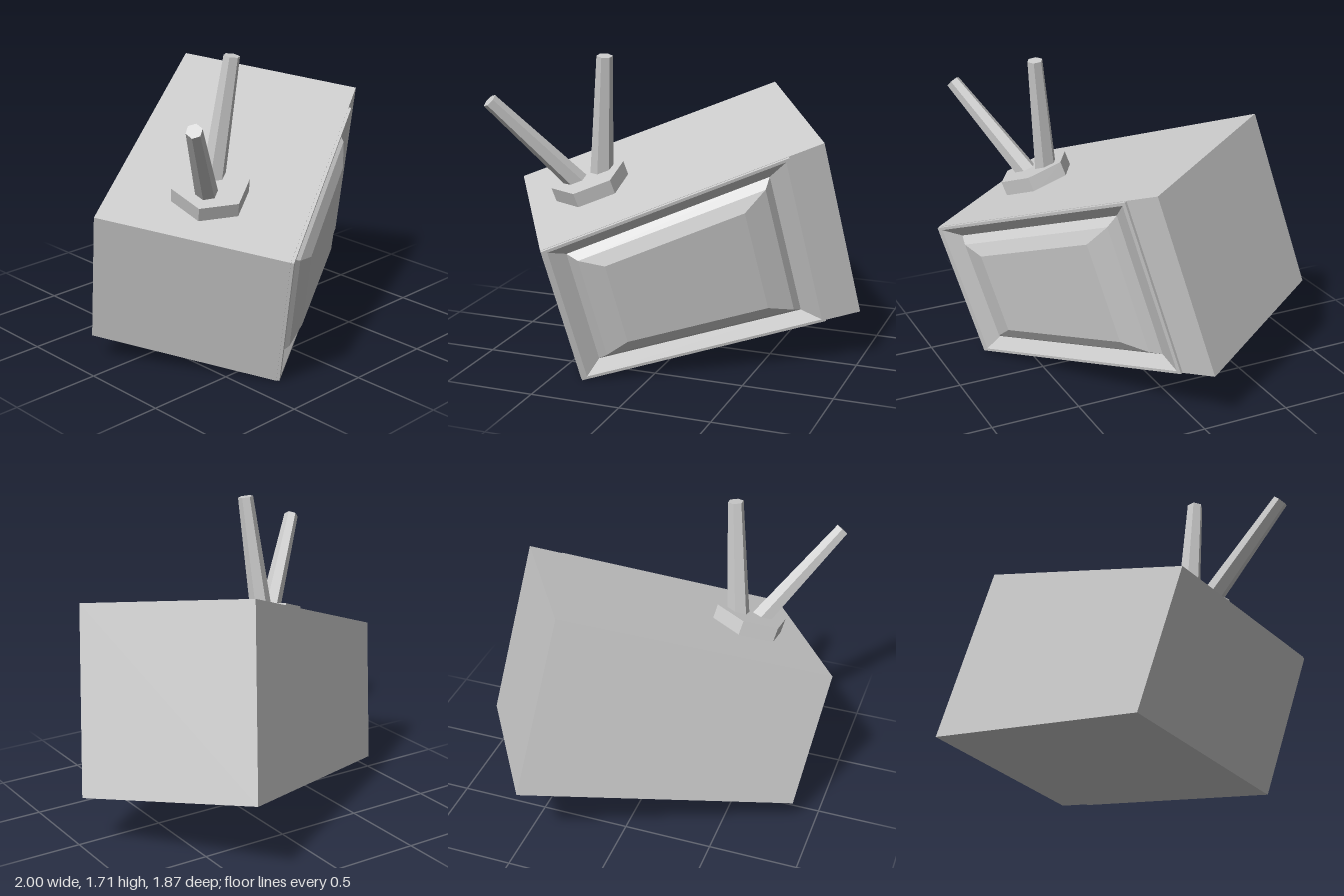
import * as THREE from 'three';

const material = new THREE.MeshStandardMaterial({ color: 0xcccccc, flatShading: true });
const SLOPE = 0.0745; // the cabinet grows taller towards its left

// Half height of the cabinet at a given x
const halfHeight = (x) => 0.403 + SLOPE * (x + 0.785);

// Four-cornered cross-section, inset vertically from the cabinet outline
const ring = (x0, x1, inset, z) => {
  const a = halfHeight(x0) - inset, b = halfHeight(x1) - inset;
  return [[x0, -a, z], [x1, -b, z], [x1, b, z], [x0, a, z]];
};

// Joins cross-sections from back to front, with optional end caps
function loft(name, rings, capBack, capFront) {
  const pos = [];
  const quad = (a, b, c, d) => [a, b, c, a, c, d].forEach((p) => pos.push(...p));
  for (let i = 0; i < rings.length - 1; i++) {
    const a = rings[i], b = rings[i + 1];
    for (let k = 0; k < 4; k++) {
      const n = (k + 1) % 4;
      quad(a[k], a[n], b[n], b[k]);
    }
  }
  if (capBack) quad(...[...rings[0]].reverse());
  if (capFront) quad(...rings[rings.length - 1]);
  const geometry = new THREE.BufferGeometry();
  geometry.setAttribute('position', new THREE.Float32BufferAttribute(pos, 3));
  geometry.computeVertexNormals();
  return named(name, geometry);
}

function named(name, geometry) {
  const mesh = new THREE.Mesh(geometry, material);
  mesh.name = name;
  return mesh;
}

// Tapered six-sided rod between two points
function rod(name, from, to, r0, r1) {
  const a = new THREE.Vector3(...from), b = new THREE.Vector3(...to);
  const dir = b.clone().sub(a);
  const mesh = named(name, new THREE.CylinderGeometry(r1, r0, dir.length(), 6));
  mesh.position.copy(a).add(b).multiplyScalar(0.5);
  mesh.quaternion.setFromUnitVectors(new THREE.Vector3(0, 1, 0), dir.normalize());
  return mesh;
}

export function createModel() {
  const model = new THREE.Group();
  model.name = 'television';

  // Tilted set: cabinet, frame, screen and aerial base share one local frame
  const set = new THREE.Group();
  set.name = 'tiltedSet';
  const front = new THREE.Vector3(0.52, -0.142, 0.843).normalize();
  const up = new THREE.Vector3(-0.155, 0.957, 0.25);
  const side = new THREE.Vector3().crossVectors(up, front).normalize();
  up.crossVectors(front, side);
  set.quaternion.setFromRotationMatrix(new THREE.Matrix4().makeBasis(side, up, front));
  set.position.set(0.259, 0.591, 0.45);
  model.add(set);

  // Wedge-shaped cabinet, open behind the frame
  set.add(loft('cabinet', [
    ring(-0.785, 0.785, 0, -1.038),
    ring(-0.785, 0.785, 0, 0),
    ring(-0.781, 0.583, 0.004, 0),
  ], true, false));

  // Raised frame: thin rim and inward bevel
  set.add(loft('screenFrame', [
    ring(-0.783, 0.585, 0.002, -0.002),
    ring(-0.783, 0.585, 0.002, 0.016),
    ring(-0.752, 0.564, 0.018, 0.016),
    ring(-0.66, 0.468, 0.085, -0.03),
  ], false, false));

  // Bulging faceted screen
  set.add(loft('screen', [
    ring(-0.662, 0.47, 0.084, -0.03),
    ring(-0.615, 0.425, 0.122, 0.02),
    ring(-0.49, 0.285, 0.19, 0.055),
  ], false, true));

  // Hexagonal aerial base on the sloping top
  const base = named('aerialBase', new THREE.CylinderGeometry(0.21, 0.21, 0.1, 6).rotateY(Math.PI / 2));
  base.position.set(-0.43, halfHeight(-0.43) + 0.033, -0.525);
  base.rotation.z = Math.atan(SLOPE);
  set.add(base);

  // Two splayed aerials
  model.add(rod('rightAerial', [-0.48, 0.97, 0.345], [-0.868, 1.483, 0.665], 0.062, 0.042));
  model.add(rod('leftAerial', [-0.395, 1.0, 0.29], [-0.33, 1.708, 0.37], 0.065, 0.044));

  return model;
}
